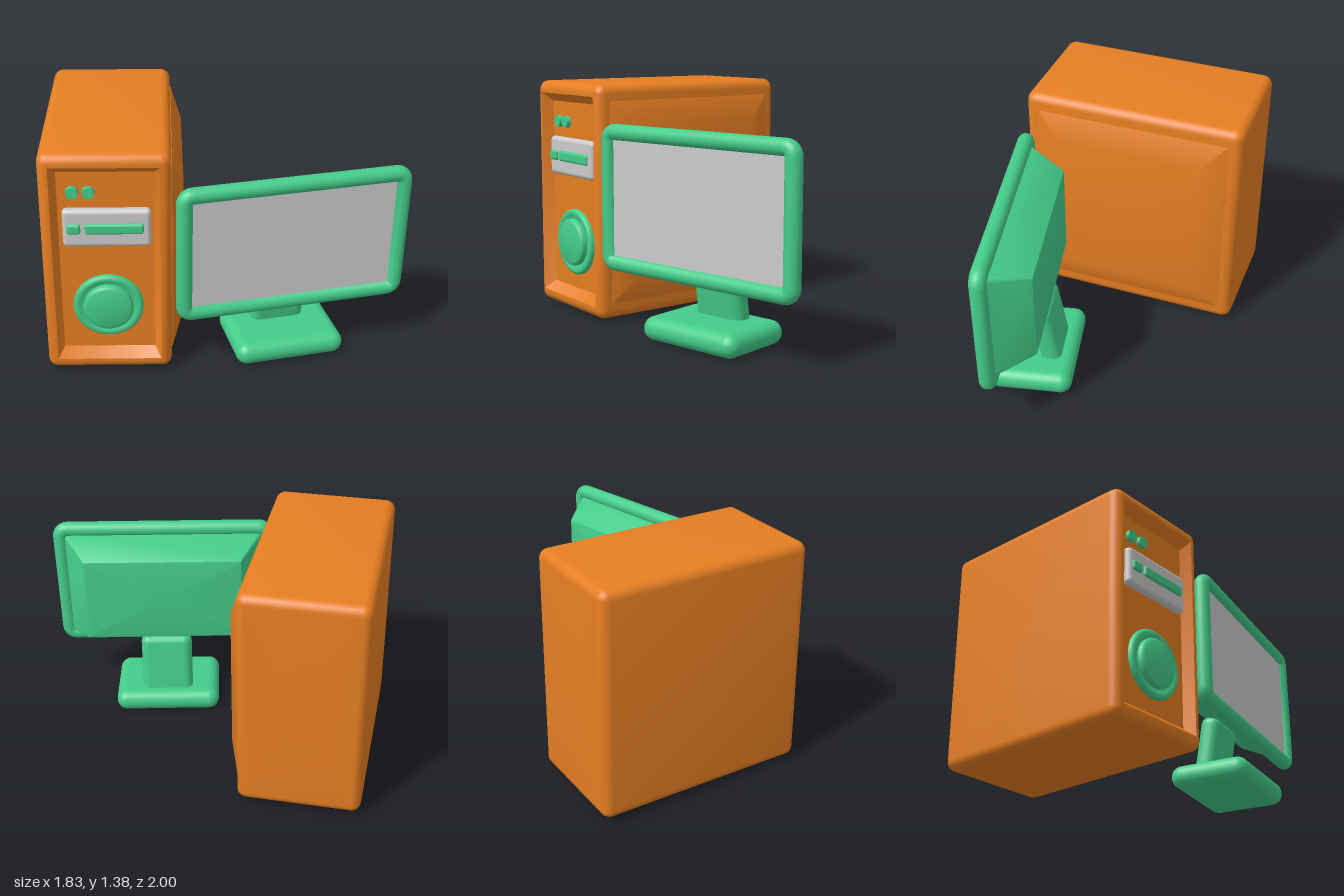
import * as THREE from 'three';
import { toCreasedNormals } from 'three/addons/utils/BufferGeometryUtils.js';
import { RoundedBoxGeometry } from 'three/addons/geometries/RoundedBoxGeometry.js';

const orange = new THREE.MeshStandardMaterial({ color: 0xe67e22 });
const green = new THREE.MeshStandardMaterial({ color: 0x44cc8a });
const grey = new THREE.MeshStandardMaterial({ color: 0xcccccc });

// Rounded-rectangle rings stacked along z; profile entries are [inset, z, insetY = inset].
function loft(w, h, r, profile, capped = true) {
  const steps = 6, n = 4 * (steps + 1), pos = [], index = [];
  const ring = ([ix, z, iy = ix]) => {
    const rad = Math.max(r - Math.min(ix, iy), 0.004);
    const cx = w / 2 - ix - rad, cy = h / 2 - iy - rad;
    for (let c = 0; c < 4; c++) {
      const sx = c === 0 || c === 3 ? 1 : -1, sy = c < 2 ? 1 : -1;
      for (let s = 0; s <= steps; s++) {
        const a = (c + s / steps) * Math.PI / 2;
        pos.push(sx * cx + rad * Math.cos(a), sy * cy + rad * Math.sin(a), z);
      }
    }
  };
  const point = (z) => { for (let i = 0; i < n; i++) pos.push(0, 0, z); };
  if (capped) point(profile[0][1]);
  profile.forEach(ring);
  if (capped) point(profile[profile.length - 1][1]);
  const rows = pos.length / 3 / n;
  for (let j = 0; j < rows - 1; j++) {
    for (let i = 0; i < n; i++) {
      const k = (i + 1) % n, a = j * n + i, b = j * n + k, c = b + n, d = a + n;
      if (!(capped && j === 0)) index.push(a, b, d);
      if (!(capped && j === rows - 2)) index.push(b, c, d);
      else index.push(a, b, d);
      if (capped && j === 0) index.push(b, c, d);
    }
  }
  const g = new THREE.BufferGeometry();
  g.setAttribute('position', new THREE.Float32BufferAttribute(pos, 3));
  g.setIndex(index);
  return toCreasedNormals(g, 0.5);
}

// Quarter-round profile points from angle a0 to a1 around (inset r, z).
function round(r, z, a0, a1, steps = 6) {
  return Array.from({ length: steps + 1 }, (_, i) => {
    const a = a0 + (a1 - a0) * i / steps;
    return [r - r * Math.cos(a), z + r * Math.sin(a)];
  });
}

function add(parent, name, geometry, material, x = 0, y = 0, z = 0) {
  const mesh = new THREE.Mesh(geometry, material);
  mesh.name = name;
  mesh.position.set(x, y, z);
  parent.add(mesh);
  return mesh;
}

function createTower() {
  const tower = new THREE.Group();
  tower.name = 'computerTower';
  const W = 0.71, H = 1.355, D = 1.29, r = 0.055, q = Math.PI / 2, mid = 0.6975;

  // Case with rounded edges and a recessed front
  const profile = [
    ...round(r, -D / 2 + r, -q, 0),
    ...round(r, D / 2 - r, 0, q),
    [0.06, D / 2, 0.07],
    [0.095, 0.585, 0.12],
  ];
  add(tower, 'case', loft(W, H, r, profile), orange, 0, mid);

  // Raised panel on the left side
  const panel = loft(1.13, 1.165, 0.008, [[0, -0.02], [0, 0.004], [0.148, 0.067]]);
  add(tower, 'sidePanel', panel, orange, W / 2, mid).rotation.y = q;

  // Power buttons
  for (const x of [-0.178, -0.09]) {
    const g = new THREE.CylinderGeometry(0.033, 0.036, 0.03, 24).rotateX(q);
    add(tower, 'button', g, green, x, 1.137, 0.595);
  }

  // Disc drive with a slot and a key
  add(tower, 'drivePlate', new RoundedBoxGeometry(0.48, 0.225, 0.06, 4, 0.025), grey, 0.005, 0.932, 0.6);
  add(tower, 'driveSlot', new RoundedBoxGeometry(0.32, 0.062, 0.03, 4, 0.014), green, 0.045, 0.935, 0.63);
  add(tower, 'driveKey', new RoundedBoxGeometry(0.075, 0.06, 0.03, 4, 0.014), green, -0.174, 0.935, 0.63);

  // Round fan cover: outer ring and raised centre
  const dial = [
    [0.197, 0], [0.197, 0.02], [0.19, 0.03], [0.178, 0.035], [0.16, 0.032], [0.145, 0.022],
    [0.14, 0.022], [0.14, 0.045], [0.134, 0.054], [0.12, 0.06], [0, 0.06],
  ].map(([x, y]) => new THREE.Vector2(x, y));
  const fan = toCreasedNormals(new THREE.LatheGeometry(dial, 48).rotateX(q), 0.7);
  add(tower, 'fanCover', fan, green, 0, 0.425, 0.58);

  tower.position.set(-0.275, 0, -0.29);
  tower.rotation.y = -0.626;
  return tower;
}

function createMonitor() {
  const monitor = new THREE.Group();
  monitor.name = 'monitor';

  // Round-sectioned frame
  const frame = loft(1.35, 0.83, 0.09, round(0.046, 0, -Math.PI, Math.PI, 24), false);
  add(monitor, 'frame', frame, green, 0, 0.75);
  add(monitor, 'screen', new THREE.BoxGeometry(1.2, 0.68, 0.03), grey, 0, 0.75, 0);

  // Tapered housing behind the screen
  const housing = loft(1.22, 0.7, 0.03, [
    [0.15, -0.245, 0.1], [0.136, -0.241, 0.086], [0.128, -0.228, 0.078], [0, -0.02], [0, 0],
  ]);
  add(monitor, 'housing', housing, green, 0, 0.75);

  // Leaning neck and thick rounded foot
  const neck = add(monitor, 'neck', new RoundedBoxGeometry(0.315, 0.41, 0.12, 5, 0.05), green, 0, 0.27, -0.22);
  neck.rotation.x = 0.17;
  add(monitor, 'foot', new RoundedBoxGeometry(0.647, 0.134, 0.475, 6, 0.066), green, 0, 0.067, -0.147);

  monitor.position.set(0.285, 0, 0.706);
  monitor.rotation.y = -0.405;
  return monitor;
}

export function createModel() {
  const model = new THREE.Group();
  model.name = 'desktopComputer';
  model.add(createTower(), createMonitor());
  return model;
}
